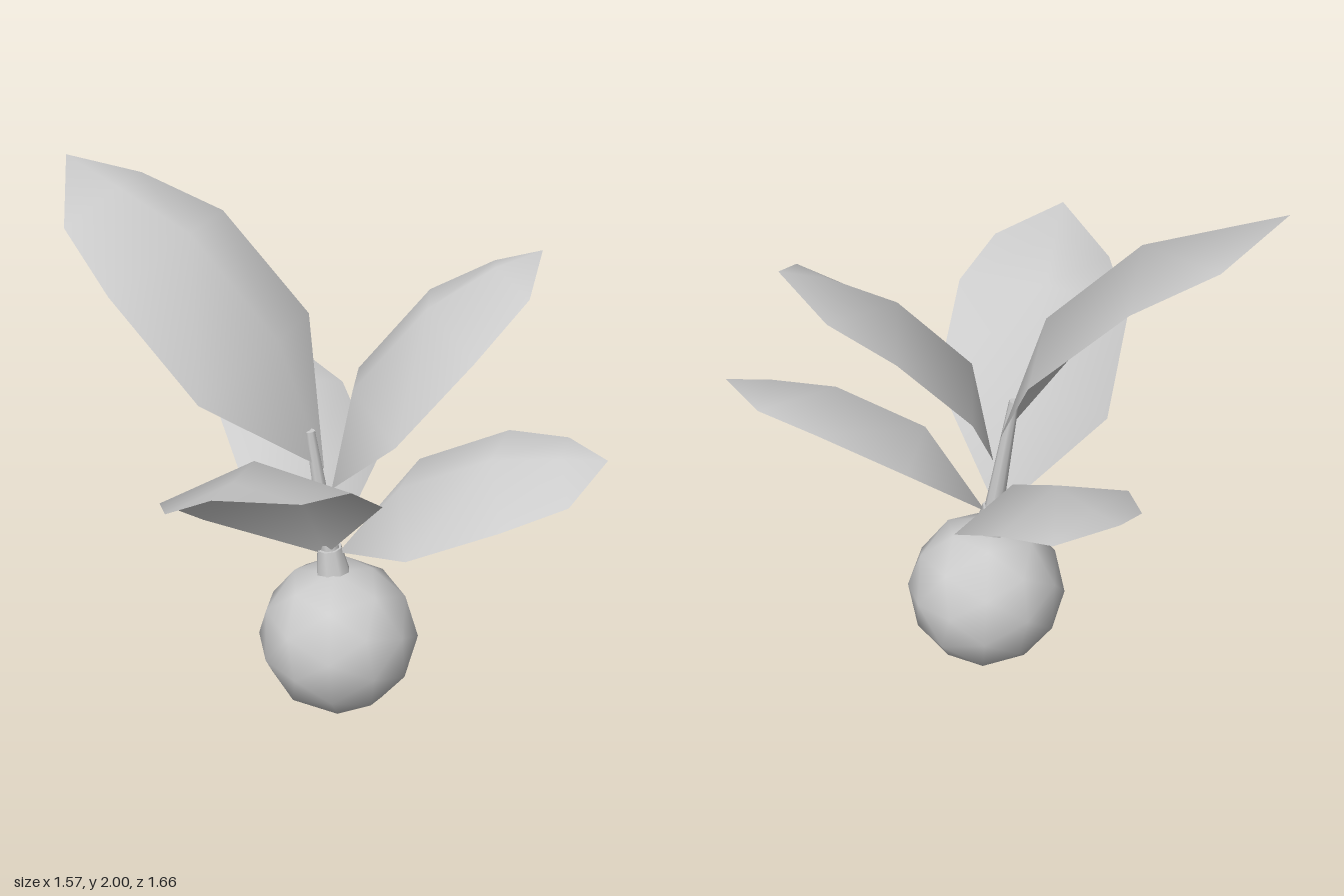
import * as THREE from 'three';
import { mergeVertices } from 'three/addons/utils/BufferGeometryUtils.js';

const V = (a) => new THREE.Vector3(...a);
const material = new THREE.MeshStandardMaterial({ color: 0xcccccc });
const leafMaterial = new THREE.MeshStandardMaterial({ color: 0xcccccc, side: THREE.DoubleSide });

function mesh(name, geometry, mat = material) {
  const m = new THREE.Mesh(geometry, mat);
  m.name = name;
  return m;
}

// Tapered rod between two points
function rod(name, from, to, r0, r1) {
  const a = V(from), b = V(to);
  const m = mesh(name, new THREE.CylinderGeometry(r1, r0, a.distanceTo(b), 8));
  m.position.copy(a).lerp(b, 0.5);
  m.quaternion.setFromUnitVectors(new THREE.Vector3(0, 1, 0), b.sub(a).normalize());
  return m;
}

// Leaf: base point, three [left, right] edge pairs and a tip; the midrib is arched upward
function leaf(name, base, pairs, tip) {
  const b = V(base), t = V(tip);
  const points = [b];
  pairs.forEach(([l, r]) => {
    const left = V(l), right = V(r);
    const across = right.clone().sub(left);
    const normal = across.clone().cross(t.clone().sub(b)).normalize();
    if (normal.y < 0) normal.negate();
    const mid = left.clone().lerp(right, 0.5).addScaledVector(normal, across.length() * 0.19);
    points.push(left, mid, right);
  });
  points.push(t);

  const index = [0, 2, 1, 0, 3, 2];
  for (let row = 0; row < pairs.length - 1; row++) {
    for (let c = 1; c <= 2; c++) {
      const i = row * 3 + c;
      index.push(i, i + 1, i + 4, i, i + 4, i + 3);
    }
  }
  const end = points.length - 1;
  index.push(end - 3, end - 2, end, end - 2, end - 1, end);

  const g = new THREE.BufferGeometry().setFromPoints(points);
  g.setIndex(index);
  g.computeVertexNormals();
  return mesh(name, g, leafMaterial);
}

export function createModel() {
  const group = new THREE.Group();
  group.name = 'plant';

  // Round bulb, low in sides but smoothly shaded
  let ball = new THREE.IcosahedronGeometry(0.293, 1);
  ball.deleteAttribute('normal');
  ball.deleteAttribute('uv');
  ball = mergeVertices(ball, 1e-4);
  ball.rotateX(0.1).rotateZ(0.12);
  ball.computeVertexNormals();
  ball.computeBoundingBox();
  ball.translate(0.05, 0.003 - ball.boundingBox.min.y, 0.09);
  group.add(mesh('bulb', ball));

  // Thick neck and thin upper stem
  group.add(rod('stemNeck', [0.035, 0.53, 0.085], [0.02, 0.66, 0.075], 0.068, 0.046));
  group.add(rod('stem', [0.025, 0.63, 0.08], [-0.035, 1.12, 0.03], 0.036, 0.018));

  // Five leaves, seen from the stem outward
  group.add(leaf('tallBackLeaf', [0.01, 0.97, 0.05], [
    [[-0.47, 1.33, 0.08], [0.12, 1.40, -0.315]],
    [[-0.685, 1.67, -0.165], [-0.10, 1.74, -0.57]],
    [[-0.74, 1.83, -0.43], [-0.355, 1.88, -0.70]],
  ], [-0.64, 2.0, -0.67]));

  group.add(leaf('frontLeaf', [0.01, 0.63, 0.07], [
    [[0.04, 1.01, 0.45], [-0.46, 0.885, 0.07]],
    [[-0.20, 1.245, 0.70], [-0.71, 1.135, 0.32]],
    [[-0.43, 1.32, 0.825], [-0.785, 1.24, 0.57]],
  ], [-0.72, 1.39, 0.80]));

  group.add(leaf('upperSideLeaf', [0.04, 0.88, 0.05], [
    [[0.11, 1.195, 0.40], [0.25, 1.22, -0.17]],
    [[0.365, 1.485, 0.465], [0.50, 1.505, -0.11]],
    [[0.59, 1.66, 0.425], [0.675, 1.64, 0.035]],
  ], [0.735, 1.75, 0.255]));

  group.add(leaf('lowerSideLeaf', [0.05, 0.64, 0.09], [
    [[0.105, 0.805, 0.50], [0.385, 0.93, 0.06]],
    [[0.36, 0.955, 0.69], [0.64, 1.08, 0.25]],
    [[0.59, 1.025, 0.745], [0.765, 1.115, 0.445]],
  ], [0.78, 1.13, 0.675]));

  group.add(leaf('lowBackLeaf', [0.04, 0.61, 0.05], [
    [[-0.19, 0.82, -0.20], [0.34, 0.815, -0.19]],
    [[-0.17, 1.0, -0.50], [0.345, 1.0, -0.50]],
    [[-0.085, 1.06, -0.705], [0.265, 1.06, -0.71]],
  ], [0.09, 1.155, -0.835]));

  // Wind each leaf so its upper face is the front
  group.children.filter((c) => c.material === leafMaterial).forEach((c) => {
    const n = c.geometry.attributes.normal;
    if (n.getY(5) < 0) {
      c.geometry.index.array.reverse();
      c.geometry.computeVertexNormals();
    }
  });
  return group;
}
